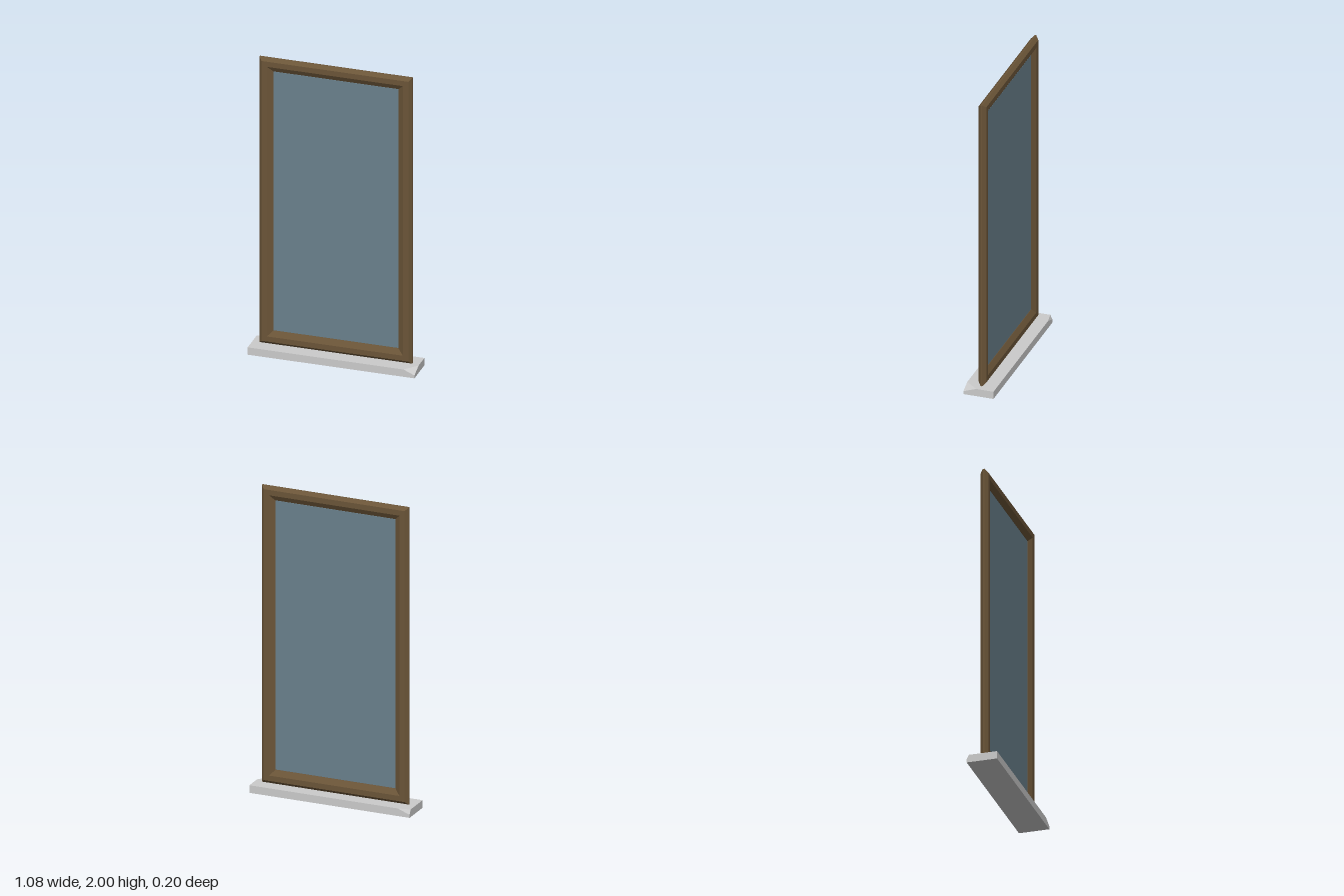
import * as THREE from 'three';
import { ConvexGeometry } from 'three/addons/geometries/ConvexGeometry.js';

const HALF_W = 0.495, BOTTOM = 0.05, TOP = 2, CENTRE_Z = -0.003;

// Sweeps a closed [inset, z] profile around a rectangle with mitred corners.
function mitredFrame(profile) {
  const corners = [[-1, 0], [1, 0], [1, 1], [-1, 1]];
  const point = (c, [inset, z]) => [
    c[0] * (HALF_W - inset),
    c[1] ? TOP - inset : BOTTOM + inset,
    z,
  ];
  const pos = [];
  corners.forEach((c, i) => {
    const next = corners[(i + 1) % 4];
    profile.forEach((p, j) => {
      const q = profile[(j + 1) % profile.length];
      const a = point(c, p), b = point(next, p), d = point(next, q), e = point(c, q);
      pos.push(...a, ...b, ...d, ...a, ...d, ...e);
    });
  });
  const geo = new THREE.BufferGeometry();
  geo.setAttribute('position', new THREE.Float32BufferAttribute(pos, 3));
  geo.computeVertexNormals();
  return geo;
}

export function createModel() {
  const model = new THREE.Group();
  const add = (name, geometry, color) => {
    const mesh = new THREE.Mesh(geometry, new THREE.MeshStandardMaterial({ color, flatShading: true }));
    mesh.name = name;
    model.add(mesh);
    return mesh;
  };

  // Wooden frame, bevelled on its outer and inner edges
  const frame = add('frame', mitredFrame([
    [0, -0.005], [0, 0.005], [0.02, 0.025], [0.055, 0.025],
    [0.09, 0.004], [0.09, -0.004], [0.055, -0.025], [0.02, -0.025],
  ]), 0x6b5538);
  frame.position.z = CENTRE_Z;

  // Glass pane
  const pane = add('glassPane', new THREE.BoxGeometry(0.81, 1.765, 0.006), 0x6a808c);
  pane.position.set(0, (BOTTOM + TOP) / 2, CENTRE_Z);

  // Stone sill with two chipped corners (front left and back right)
  const X = 0.54, Z = 0.098, H = 0.05, CHIP = 0.02;
  const points = [
    [-X, 0, -Z], [X, 0, -Z], [X, 0, Z], [-X, 0, Z],
    [X, H, -Z], [-X, H, Z],
    [0.47, H, Z], [X, H, 0.015], [X, CHIP, Z],
    [-0.46, H, -Z], [-X, H, -0.083], [-X, CHIP, -Z],
  ].map((p) => new THREE.Vector3(...p));
  add('sill', new ConvexGeometry(points), 0xcccccc);

  return model;
}
